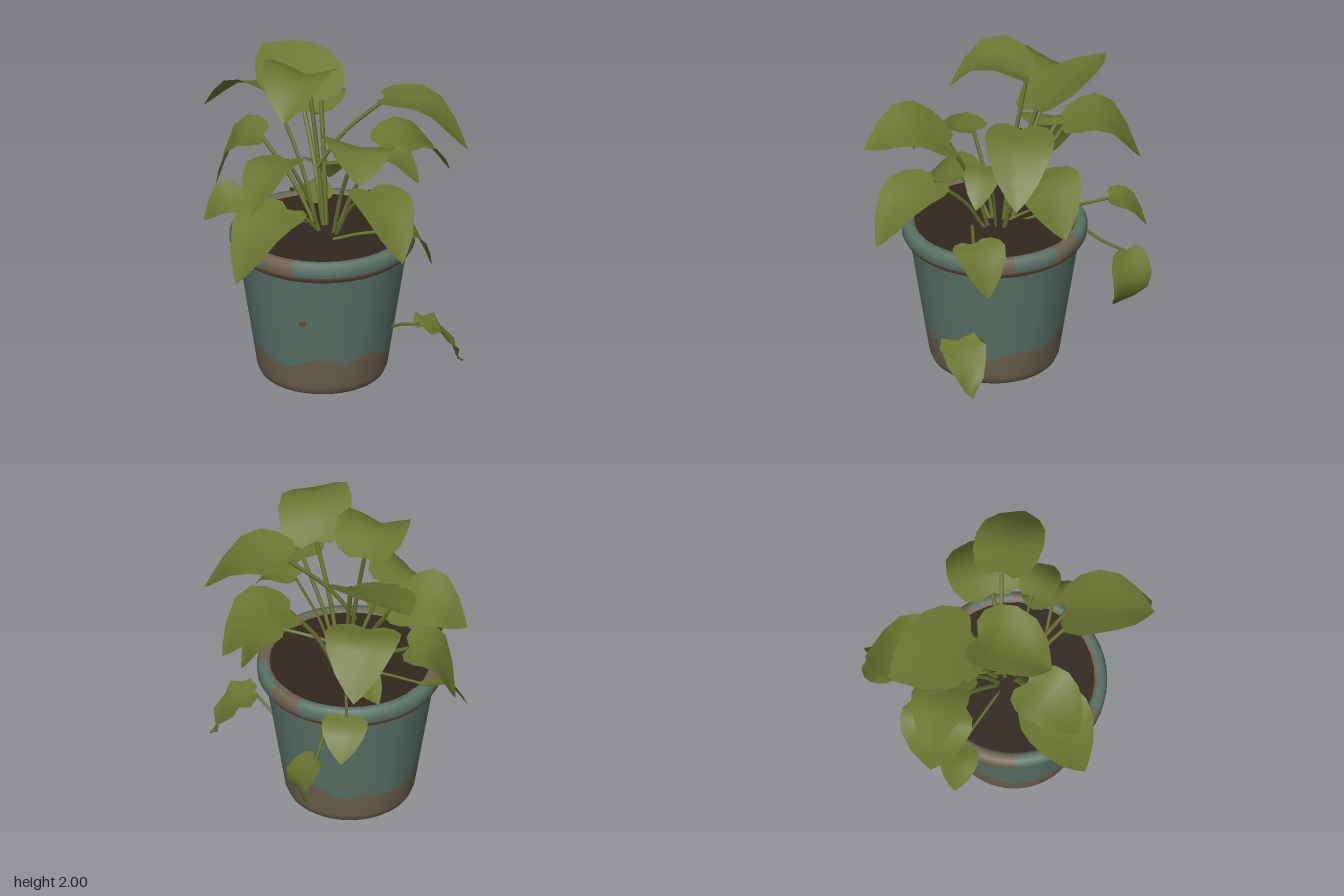
import * as THREE from 'three';

const V = (a) => new THREE.Vector3(...a);

function makeMaterials() {
  const make = (name, color, side = THREE.FrontSide) => {
    const m = new THREE.MeshStandardMaterial({ color, side });
    m.name = name;
    return m;
  };
  return {
    leaf: make('leaf green', 0x6b7531, THREE.DoubleSide),
    teal: make('teal glaze', 0x5a7367),
    clay: make('bare clay', 0x6f6250),
    rust: make('rust edge', 0x6c513c),
    soil: make('soil', 0x32271e),
  };
}

function mesh(name, geometry, material) {
  const m = new THREE.Mesh(geometry, material);
  m.name = name;
  return m;
}

function indexedGeometry(positions, index) {
  const g = new THREE.BufferGeometry();
  g.setAttribute('position', new THREE.Float32BufferAttribute(positions, 3));
  g.setIndex(index);
  g.computeVertexNormals();
  return g;
}

// Closed surface of revolution whose rows may vary with angle;
// pick(row, angle) gives the material index of each face.
function revolve(rowsAt, pick, materialCount, segments = 48) {
  const pos = [];
  const buckets = Array.from({ length: materialCount }, () => []);
  const n = rowsAt(0).length;
  for (let j = 0; j < segments; j++) {
    const a = (j / segments) * Math.PI * 2;
    for (const [r, y] of rowsAt(a)) pos.push(Math.sin(a) * r, y, Math.cos(a) * r);
    const mid = a + Math.PI / segments;
    for (let i = 0; i < n - 1; i++) {
      const p = j * n + i, q = ((j + 1) % segments) * n + i;
      buckets[pick(i, mid)].push(p, q, q + 1, p, q + 1, p + 1);
    }
  }
  const g = indexedGeometry(pos, buckets.flat());
  let start = 0;
  buckets.forEach((b, k) => {
    g.addGroup(start, b.length, k);
    start += b.length;
  });
  return g;
}

function buildPot(mat) {
  const pot = new THREE.Group();
  pot.name = 'pot';
  pot.position.set(-0.04, 0, 0.07);
  const wall = (y) => 0.382 + 0.155 * y;

  // Body: bare clay foot with an uneven glaze line
  const bodyRows = (a) => {
    const line = 0.225 + 0.025 * Math.sin(3 * a) + 0.022 * Math.sin(7 * a + 1);
    return [[0.001, 0.005], [0.355, 0], [0.372, 0.015], [wall(0.06), 0.06],
      [wall(line), line], [wall(0.55), 0.55], [wall(0.84), 0.84]];
  };
  pot.add(mesh('potBody', revolve(bodyRows, (i) => (i < 4 ? 1 : 0), 2), [mat.teal, mat.clay]));

  // Rim: glazed roll with worn patches and a rusty lower edge
  const rim = [[0.508, 0.81], [0.537, 0.83], [0.556, 0.862], [0.558, 0.91],
    [0.54, 0.945], [0.5, 0.95], [0.475, 0.92]];
  const worn = [1.6, 2.5, 4.71, 5.94];
  const pickRim = (i, a) => {
    if (i < 2) return i === 1 ? 2 : 0;
    return i === 5 || worn.some((w) => Math.abs(a - w) < 0.2) ? 1 : 0;
  };
  pot.add(mesh('potRim', revolve(() => rim, pickRim, 3), [mat.teal, mat.clay, mat.rust]));

  // Soil disc
  const soil = mesh('soil', new THREE.CircleGeometry(0.482, 32), mat.soil);
  soil.rotation.x = -Math.PI / 2;
  soil.position.y = 0.932;
  pot.add(soil);

  // Small chip in the glaze
  const chip = mesh('glazeChip', new THREE.CircleGeometry(0.025, 6), mat.rust);
  chip.position.set(-0.03, 0.51, wall(0.51) + 0.003);
  chip.rotation.x = 0.15;
  pot.add(chip);
  return pot;
}

// Heart-shaped blade swept along an arched midrib from base to tip.
// A given side vector sets the blade's plane, and the midrib then bows square to it.
function bladeGeometry(base, tip, width, { roll = 0, fold = 0.15, arch = 0.3, ripple = 0, side }) {
  const chord = tip.clone().sub(base);
  const across = side
    ? V(side).normalize()
    : new THREE.Vector3(-chord.z, 0, chord.x).normalize().applyAxisAngle(chord.clone().normalize(), -roll);
  const bow = side ? across.clone().cross(chord).normalize() : new THREE.Vector3(0, 1, 0);
  const middle = base.clone().lerp(tip, 0.5).addScaledVector(bow, arch * width);
  const rib = new THREE.CatmullRomCurve3([base, middle, tip]);
  // Each row: place along the rib, relative width, backward sweep of the lobes
  const rows = [[0, 0.4, 0.07], [0.07, 0.74, 0.07], [0.2, 0.96, 0.02], [0.38, 1, 0],
    [0.58, 0.88, 0], [0.78, 0.58, 0], [0.92, 0.24, 0], [1, 0, 0]];
  const pos = [], index = [];
  rows.forEach(([t, w, sweep], i) => {
    const tangent = rib.getTangent(t);
    const normal = across.clone().cross(tangent).normalize();
    for (let c = 0; c < 5; c++) {
      const u = c / 2 - 1;
      const half = (w * width) / 2;
      const lift = Math.abs(u) * (fold * half + (i % 2 ? ripple : -ripple));
      const p = rib.getPoint(t)
        .addScaledVector(across, u * half)
        .addScaledVector(normal, lift)
        .addScaledVector(tangent, -sweep * Math.abs(u) * chord.length());
      pos.push(p.x, p.y, p.z);
      if (i > 0 && c < 4) {
        const a = (i - 1) * 5 + c, b = a + 5;
        index.push(a, a + 1, b + 1, a, b + 1, b);
      }
    }
  });
  return indexedGeometry(pos, index);
}

// Stalk that rises first and then leans out to the leaf base
function stemGeometry(start, base, radius) {
  const bend = start.clone().lerp(base, 0.38);
  bend.y = (start.y + base.y) / 2;
  return new THREE.TubeGeometry(new THREE.CatmullRomCurve3([start, bend, base]), 8, radius, 5);
}

// One leaf with its stalk; the stalk starts in the soil unless "from" is given
function sprig(mat, name, base, tip, width, options = {}) {
  const b = V(base);
  const start = options.from
    ? V(options.from)
    : new THREE.Vector3(b.x * 0.2 - 0.01, 0.92, b.z * 0.2 + 0.04);
  const group = new THREE.Group();
  group.name = name;
  group.add(
    mesh('blade', bladeGeometry(b, V(tip), width, options), mat.leaf),
    mesh('stem', stemGeometry(start, b, 0.003 + 0.024 * width), mat.leaf),
  );
  return group;
}

function buildFoliage(mat) {
  const foliage = new THREE.Group();
  foliage.name = 'foliage';
  const leaf = (...spec) => foliage.add(sprig(mat, ...spec));

  // Crown
  leaf('topLeaf', [-0.17, 1.85, -0.12], [-0.22, 1.74, 0.35], 0.44, { fold: 0.33 });
  leaf('upperBackLeaf', [-0.1, 1.66, -0.18], [-0.54, 1.81, -0.58], 0.5, { roll: 0.32, arch: 0.04 });
  leaf('upperLeftLeaf', [0.31, 1.75, -0.1], [0.82, 1.46, -0.09], 0.42, { roll: 0.1, from: [-0.09, 1.3, 0] });
  leaf('upperFrontLeaf', [0.22, 1.59, 0.33], [0.34, 1.61, 0.84], 0.45, { roll: 0.2 });
  leaf('upperRightLeaf', [-0.4, 1.64, -0.25], [-0.83, 1.53, -0.25], 0.4, { roll: -0.45, fold: 0.08 });

  // Middle tier
  leaf('backLeaf', [-0.24, 1.5, -0.36], [-0.25, 1.26, -0.8], 0.46, { fold: 0.1, arch: 0.35 });
  leaf('midRightLeaf', [-0.48, 1.34, -0.28], [-0.76, 1.0, -0.26], 0.44, { arch: 0.36 });
  leaf('midBackLeftLeaf', [0.28, 1.4, -0.15], [0.65, 1.18, -0.38], 0.47);
  leaf('midFrontLeftLeaf', [0.32, 1.38, 0.42], [0.59, 1.08, 0.76], 0.38, { roll: 0.1 });
  leaf('midFrontRightLeaf', [-0.23, 1.43, 0.2], [-0.38, 1.21, 0.57], 0.38, { roll: -0.25 });
  leaf('smallLeftLeaf', [0.3, 1.48, 0.09], [0.57, 1.33, 0.16], 0.24);

  // Around the rim
  leaf('lowFrontRightLeaf', [-0.21, 1.13, 0.27], [-0.46, 0.78, 0.62], 0.44);
  leaf('rimLeftLeaf', [0.43, 1.02, 0.18], [0.63, 0.76, 0.08], 0.33, { from: [0.05, 0.93, 0.2] });
  leaf('rimRightLeaf', [-0.56, 0.97, -0.13], [-0.8, 0.84, -0.1], 0.26, { roll: 0.5 });
  leaf('rimBackLeaf', [-0.17, 1.02, -0.62], [-0.18, 0.83, -0.84], 0.28, { arch: 0.22 });
  leaf('soilLeaf', [-0.1, 0.99, -0.2], [-0.31, 0.95, -0.36], 0.24);

  // Trailing beside the pot
  leaf('hangingBackLeaf', [0, 0.75, -0.72], [0.03, 0.4, -0.65], 0.28,
    { from: [-0.02, 0.9, -0.46], side: [0.6, 0, 0.8], arch: 0.4 });
  leaf('hangingLeftLeaf', [0.59, 0.45, 0.27], [0.83, 0.18, 0.17], 0.28,
    { from: [0.36, 0.32, 0.1], ripple: 0.018 });
  return foliage;
}

export function createModel() {
  const mat = makeMaterials();
  const model = new THREE.Group();
  model.name = 'pottedPlant';
  model.add(buildPot(mat), buildFoliage(mat));
  return model;
}
